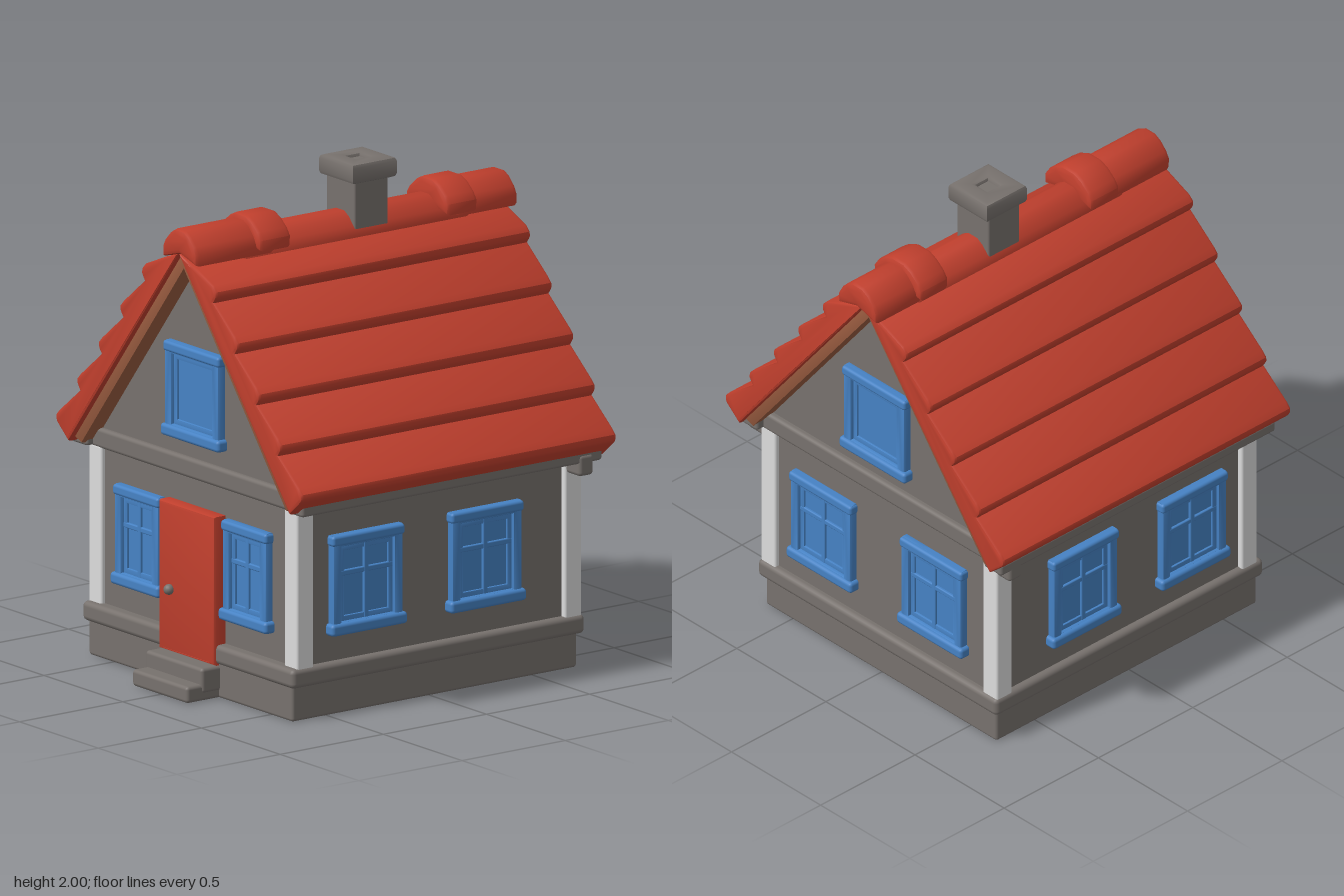
import * as THREE from 'three';
import { toCreasedNormals } from 'three/addons/utils/BufferGeometryUtils.js';
import { RoundedBoxGeometry } from 'three/addons/geometries/RoundedBoxGeometry.js';

const material = (name, color) => {
  const m = new THREE.MeshStandardMaterial({ color });
  m.name = name;
  return m;
};

export function createModel() {
  const stone = material('stone grey', 0x77716d);
  const red = material('roof red', 0xc03f2d);
  const blue = material('window blue', 0x4682c4);
  const white = material('post white', 0xdcdcdc);
  const brown = material('timber brown', 0x9a5c40);

  const house = new THREE.Group();
  house.name = 'house';

  const add = (parent, name, geometry, mat) => {
    const mesh = new THREE.Mesh(geometry, mat);
    mesh.name = name;
    parent.add(mesh);
    return mesh;
  };

  // Softened box given by its minimum and maximum corners
  const block = (parent, name, mat, [x0, y0, z0], [x1, y1, z1], r = 0.012) => {
    const g = new RoundedBoxGeometry(x1 - x0, y1 - y0, z1 - z0, 2, r);
    g.translate((x0 + x1) / 2, (y0 + y1) / 2, (z0 + z1) / 2);
    return add(parent, name, g, mat);
  };

  // Outline in x, y extruded from z0 to z1 with softened rims
  const prism = (parent, name, mat, points, z0, z1, bevel = 0.012, hole = null) => {
    const shape = new THREE.Shape(points.map(([x, y]) => new THREE.Vector2(x, y)));
    if (hole) shape.holes.push(new THREE.Path(hole.map(([x, y]) => new THREE.Vector2(x, y))));
    const g = new THREE.ExtrudeGeometry(shape, {
      depth: z1 - z0 - 2 * bevel, bevelEnabled: bevel > 0, bevelSize: bevel,
      bevelThickness: bevel, bevelOffset: -bevel, bevelSegments: 2,
    });
    g.translate(0, 0, z0 + bevel);
    return add(parent, name, toCreasedNormals(g, 0.7), mat);
  };
  const rect = (x0, y0, x1, y1) => [[x0, y0], [x1, y0], [x1, y1], [x0, y1]];

  // Foundation, plinth trim and walls
  block(house, 'foundation', stone, [-0.65, 0, -0.71], [0.645, 0.15, 0.67]);
  block(house, 'plinthTrim', stone, [-0.675, 0.135, -0.735], [0.667, 0.212, 0.685], 0.02);
  block(house, 'walls', stone, [-0.645, 0.18, -0.705], [0.635, 0.88, 0.638], 0.005);
  prism(house, 'gableWalls', stone, [[-0.67, 0.85], [0.69, 0.85], [0.01, 1.72]], -0.705, 0.64, 0);

  // Beams under the gables and along the eaves
  for (const [z0, z1] of [[0.6, 0.66], [-0.73, -0.67]])
    block(house, 'gableBeam', stone, [-0.675, 0.83, z0], [0.685, 0.91, z1], 0.015);
  for (const s of [-1, 1]) {
    const x = s * 0.685;
    block(house, 'eaveBeam', stone, [x - 0.05, 0.835, -0.765], [x + 0.05, 0.885, 0.69]);
    block(house, 'eaveBracket', stone, [x - 0.05, 0.785, -0.72], [x + 0.055, 0.87, -0.65], 0.015);
  }

  // Corner posts
  for (const x of [-0.627, 0.617])
    for (const z of [0.616, -0.683])
      block(house, 'cornerPost', white, [x - 0.041, 0.2, z - 0.041], [x + 0.041, 0.84, z + 0.041], 0.01);

  // Windows face +z locally, with the wall surface at z = 0
  const addWindow = (name, w, h, x, y, z, turn, cross = true) => {
    const win = new THREE.Group();
    win.name = name;
    const a = w / 2, b = h / 2, t = 0.048;
    prism(win, 'windowFrame', blue, rect(-a + 0.006, -b, a - 0.006, b), -0.01, 0.033, 0.01,
      rect(-a + t, -b + t, a - t, b - t));
    block(win, 'windowPane', blue, [-a + 0.03, -b + 0.03, -0.02], [a - 0.03, b - 0.03, 0.008], 0.003);
    // Sash rim and glazing bars
    prism(win, 'windowSash', blue, rect(-a + 0.04, -b + 0.04, a - 0.04, b - 0.04), 0, 0.017, 0.004,
      rect(-a + 0.068, -b + 0.068, a - 0.068, b - 0.068));
    if (cross) {
      block(win, 'uprightBar', blue, [-0.011, -b + 0.04, 0], [0.011, b - 0.04, 0.019], 0.005);
      block(win, 'crossBar', blue, [-a + 0.04, 0.03, 0], [a - 0.04, 0.052, 0.018], 0.005);
    }
    block(win, 'windowSill', blue, [-a - 0.008, -b - 0.003, -0.01], [a + 0.008, -b + 0.045, 0.045], 0.014);
    block(win, 'windowHead', blue, [-a, b - 0.042, -0.01], [a, b, 0.038], 0.012);
    win.position.set(x, y, z);
    win.rotation.y = turn;
    house.add(win);
  };
  const midY = 0.517, tall = 0.395;
  addWindow('frontWindow', 0.29, tall, -0.348, midY, 0.638, 0);
  addWindow('frontWindow', 0.29, tall, 0.338, midY, 0.638, 0);
  addWindow('frontGableWindow', 0.355, 0.375, 0.006, 1.168, 0.64, 0, false);
  for (const x of [-0.31, 0.31]) addWindow('backWindow', 0.35, tall, x, midY, -0.705, Math.PI);
  addWindow('backGableWindow', 0.355, 0.375, 0.01, 1.168, -0.705, Math.PI, false);
  for (const z of [0.317, -0.26]) {
    addWindow('leftWindow', 0.35, tall, 0.635, midY, z, Math.PI / 2);
    addWindow('rightWindow', 0.35, tall, -0.645, midY, z, -Math.PI / 2);
  }

  // Door with frame, recessed leaf and knob
  prism(house, 'doorFrame', red, rect(-0.175, 0.13, 0.18, 0.722), 0.62, 0.695, 0.012,
    rect(-0.128, 0.12 + 0.03, 0.135, 0.672));
  block(house, 'doorLeaf', red, [-0.15, 0.13, 0.62], [0.155, 0.7, 0.674], 0.003);
  block(house, 'doorPanel', red, [-0.118, 0.14, 0.64], [0.125, 0.662, 0.684], 0.008);
  add(house, 'doorKnob', new THREE.SphereGeometry(0.021, 16, 12), stone).position.set(-0.096, 0.38, 0.703);

  // Door steps
  block(house, 'lowerStep', stone, [-0.172, 0, 0.6], [0.18, 0.066, 0.825], 0.014);
  block(house, 'upperStep', stone, [-0.177, 0.03, 0.6], [0.185, 0.13, 0.757], 0.014);

  // Roof slopes: s runs down the slope from the apex, h is the height above it
  const onSlope = (side, s, h) => [0.005 + side * (0.617 * s + 0.787 * h), 1.745 - 0.787 * s + 0.617 * h];
  const lips = [0.25, 0.472, 0.694, 0.915, 1.132];
  for (const side of [-1, 1]) {
    const profile = [[0, 0], [0.08, 0.05]];
    lips.forEach((s, i) => {
      const next = i < lips.length - 1 ? 0.078 : 0;
      profile.push([s - 0.05, 0.116], [s - 0.02, 0.119], [s - 0.004, 0.108], [s + 0.002, 0.094]);
      profile.push([s + 0.006, next]);
    });
    prism(house, side < 0 ? 'rightRoofTiles' : 'leftRoofTiles', red,
      profile.map(([s, h]) => onSlope(side, s, h)), -0.795, 0.735, 0.012);
    // Timber lining that shows as bargeboards at both ends
    prism(house, 'bargeboard', brown,
      [[0, 0.02], [1.125, 0.02], [1.105, -0.042], [0.03, -0.042]].map(([s, h]) => onSlope(side, s, h)),
      -0.77, 0.71, 0.008);
  }

  // Ridge caps: a low arch with a notched underside
  const ridge = (name, w, top, z0, z1, cx = 0.02) => {
    const half = [[0.98, -0.13], [1, -0.085], [0.85, -0.055], [0.55, -0.022], [0.25, -0.004]];
    const points = [
      ...half.map(([u, v]) => [cx + u * w, top + v]),
      ...half.slice().reverse().map(([u, v]) => [cx - u * w, top + v]),
      [cx, top - 0.1],
    ];
    prism(house, name, red, points, z0, z1, 0.018);
  };
  ridge('ridgeCap', 0.1, 1.803, -0.6, 0.5, 0.012);
  ridge('ridgeEnd', 0.108, 1.846, 0.36, 0.745);
  ridge('ridgeEnd', 0.108, 1.846, -0.82, -0.52);
  ridge('ridgeCollar', 0.134, 1.864, 0.298, 0.452);
  ridge('ridgeCollar', 0.134, 1.864, -0.606, -0.455);

  // Chimney with a shallow flue in its cap
  block(house, 'chimneyStack', stone, [-0.077, 1.6, -0.21], [0.103, 1.985, -0.045], 0.008);
  const cap = prism(house, 'chimneyCap', stone, rect(-0.108, -0.106, 0.108, 0.106), 0, 0.082, 0.016,
    rect(-0.03, -0.03, 0.03, 0.03));
  cap.rotation.x = -Math.PI / 2;
  cap.position.set(0.013, 1.918, -0.13);

  return house;
}
